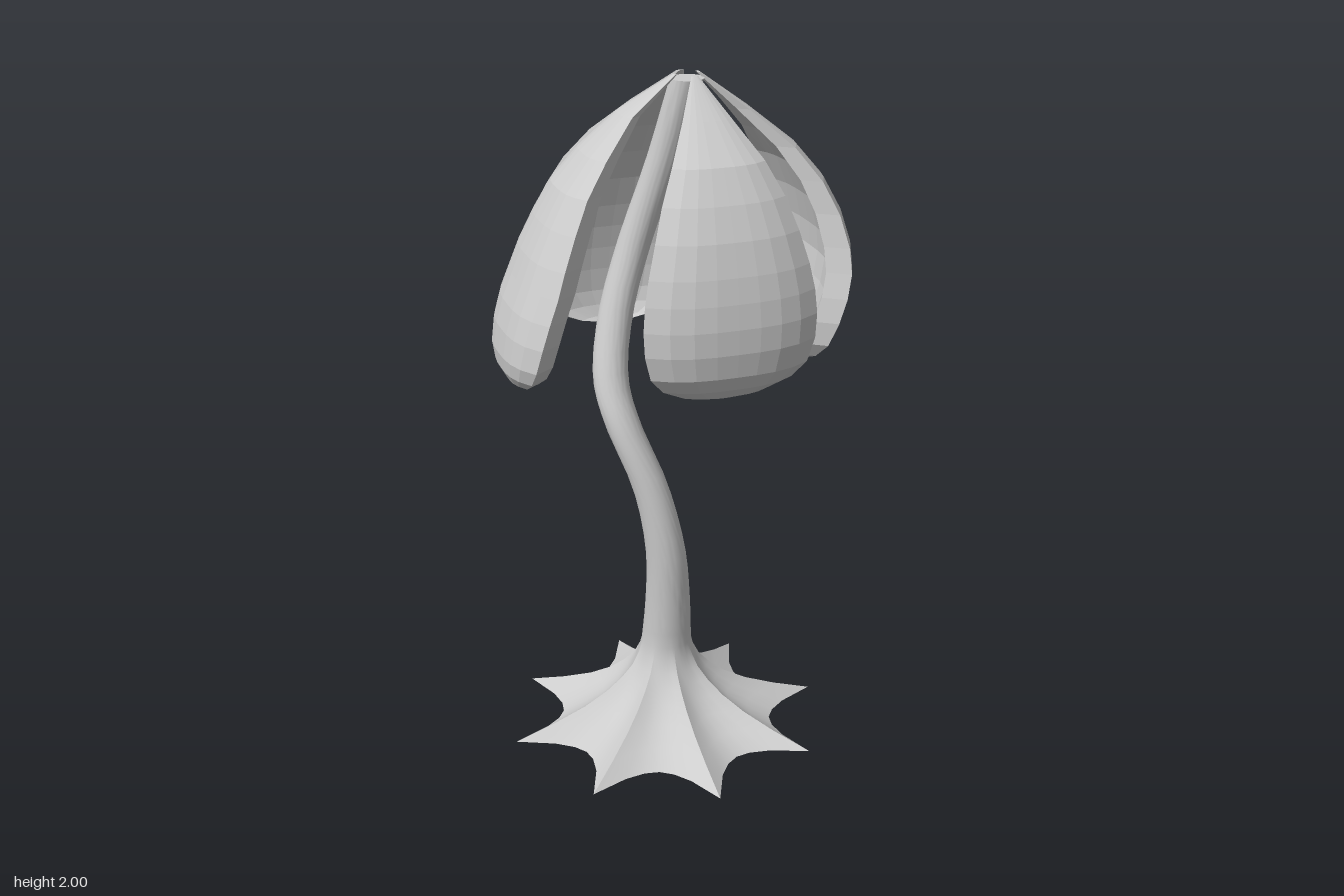
import * as THREE from 'three';
import { toCreasedNormals } from 'three/addons/utils/BufferGeometryUtils.js';

// Skins closed rings (listed top to bottom, counter-clockwise from above).
// stripCaps closes both ends by joining the two halves of each end ring.
function loft(rings, crease, stripCaps = false) {
  const n = rings[0].length, last = (rings.length - 1) * n, index = [];
  for (let i = 0; i < rings.length - 1; i++) {
    for (let j = 0; j < n; j++) {
      const k = (j + 1) % n, a = i * n, b = a + n;
      index.push(a + j, b + j, b + k, a + j, b + k, a + k);
    }
  }
  if (stripCaps) {
    for (let j = 0; j < n / 2 - 1; j++) {
      const p = j, q = j + 1, r = n - 2 - j, s = n - 1 - j;
      index.push(p, q, r, p, r, s);
      index.push(last + p, last + r, last + q, last + p, last + s, last + r);
    }
  }
  const geo = new THREE.BufferGeometry().setFromPoints(rings.flat());
  geo.setIndex(index);
  return toCreasedNormals(geo, crease);
}

// Ring with eight points; tip and valley radii are equal for a round ring.
function starRing(x, y, z, tip, valley) {
  const ring = [], blend = [1, 0.34, 0.08, 0, 0.08, 0.34];
  for (let j = 0; j < 48; j++) {
    const a = (j / 48) * Math.PI * 2, r = valley + (tip - valley) * blend[j % 6];
    ring.push(new THREE.Vector3(x + r * Math.cos(a), y, z - r * Math.sin(a)));
  }
  return ring;
}

// Winding stem that flares into an eight-pointed root
function stemGeometry() {
  const path = new THREE.CatmullRomCurve3([
    [0.05, 1.985, -0.015], [0, 1.75, -0.07], [-0.075, 1.5, -0.11], [-0.135, 1.3, -0.1],
    [-0.167, 1.12, -0.055], [-0.15, 1.0, -0.007], [-0.08, 0.8, 0.045], [-0.04, 0.6, 0.06],
    [-0.027, 0.42, 0.043], [-0.025, 0.28, 0.025],
  ].map((p) => new THREE.Vector3(...p)));
  const rings = [starRing(0.05, 1.985, -0.015, 0, 0)];
  for (let i = 0; i <= 28; i++) {
    const p = path.getPoint(i / 28);
    const r = p.y > 0.8 ? 0.053 - 0.006 * (p.y - 0.8) / 1.2
      : 0.053 + 0.022 * Math.pow((0.8 - p.y) / 0.52, 1.4);
    rings.push(starRing(p.x, p.y, p.z, r, r));
  }
  const root = [[0.24, 0.087, 0.083], [0.2, 0.107, 0.096], [0.16, 0.143, 0.118], [0.12, 0.192, 0.148],
    [0.08, 0.262, 0.19], [0.04, 0.36, 0.25], [0, 0.48, 0.32], [0, 0, 0]];
  for (const [y, tip, valley] of root) rings.push(starRing(-0.025, y, 0.02, tip, valley));
  return loft(rings, 0.5);
}

// Heights, relative widths and thicknesses shared by all petals
const ROWS = [
  [1.998, 0.04, 0.008], [1.9, 0.28, 0.03], [1.8, 0.53, 0.045], [1.71, 0.7, 0.052], [1.62, 0.82, 0.057],
  [1.53, 0.92, 0.06], [1.46, 0.975, 0.06], [1.39, 1, 0.06], [1.32, 0.985, 0.06], [1.25, 0.91, 0.058],
  [1.205, 0.75, 0.052], [1.172, 0.48, 0.042], [1.155, 0.15, 0.02],
];

// Cupped petal: "outs" is its outline seen from the side, drifting sideways from c0 to c1
function petalGeometry({ angle, outs, halfWidth, c0, c1 }) {
  const out = new THREE.Vector3(Math.sin(angle), 0, Math.cos(angle));
  const side = new THREE.Vector3(out.z, 0, -out.x);
  const cols = 8;
  const rings = ROWS.map(([y, w, thick], i) => {
    const reach = (outs[i] - outs[0]) / (Math.max(...outs) - outs[0]);
    const centre = c0 + (c1 - c0) * reach;
    // the edges curl inwards and the inner face is narrower than the outer one
    const point = (u, inset) => new THREE.Vector3(0, y, 0)
      .addScaledVector(out, outs[i] - 0.06 * w * Math.abs(u) ** 3 - inset)
      .addScaledVector(side, centre + u * (w * halfWidth - 0.7 * inset));
    const ring = [];
    for (let j = 0; j <= cols; j++) ring.push(point(-1 + 2 * j / cols, 0));
    for (let j = cols; j >= 0; j--) ring.push(point(-1 + 2 * j / cols, thick));
    return ring;
  });
  return loft(rings, 0, true);
}

export function createModel() {
  const model = new THREE.Group();
  model.name = 'droopingFlower';
  const grey = new THREE.MeshStandardMaterial({ color: 0xcccccc });
  grey.name = 'light grey';
  const add = (name, geometry) => {
    const mesh = new THREE.Mesh(geometry, grey);
    mesh.name = name;
    model.add(mesh);
  };

  add('stemAndRoot', stemGeometry());

  // Drooping petals; c0 and c1 run along each petal's own sideways axis
  add('frontPetal', petalGeometry({
    angle: 0, halfWidth: 0.25, c0: 0.055, c1: 0.058,
    outs: [0.035, 0.145, 0.25, 0.302, 0.34, 0.365, 0.378, 0.385, 0.384, 0.372, 0.348, 0.315, 0.28],
  }));
  add('leftPetal', petalGeometry({
    angle: Math.PI / 2, halfWidth: 0.305, c0: 0.025, c1: 0.05,
    outs: [0.09, 0.225, 0.35, 0.425, 0.472, 0.498, 0.503, 0.49, 0.468, 0.442, 0.415, 0.378, 0.34],
  }));
  add('backPetal', petalGeometry({
    angle: Math.PI, halfWidth: 0.278, c0: -0.045, c1: 0.05,
    outs: [0.06, 0.19, 0.3, 0.37, 0.42, 0.455, 0.475, 0.49, 0.5, 0.503, 0.492, 0.472, 0.44],
  }));
  add('rightPetal', petalGeometry({
    angle: -Math.PI / 2, halfWidth: 0.222, c0: -0.012, c1: -0.027,
    outs: [-0.01, 0.145, 0.25, 0.325, 0.375, 0.418, 0.445, 0.473, 0.493, 0.503, 0.498, 0.48, 0.45],
  }));
  return model;
}
